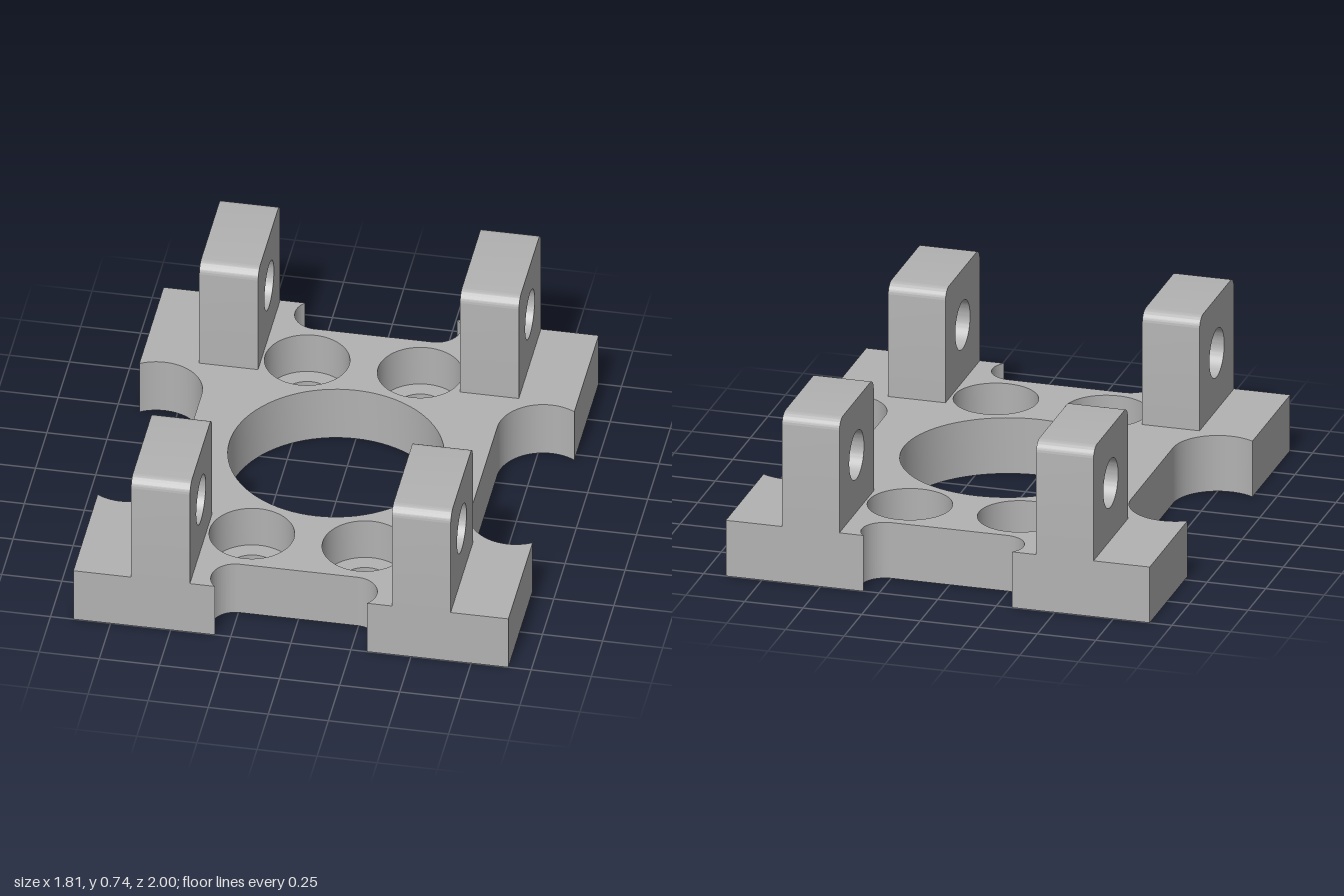
import * as THREE from 'three';
import { toCreasedNormals } from 'three/addons/utils/BufferGeometryUtils.js';

const PLATE_H = 0.245;
const BORE_R = 0.175, BOLT_R = 0.105, SEAT_H = 0.06;

// Extrude a shape with crisp edges and smooth curved walls
function extrude(shape, depth) {
  const geo = new THREE.ExtrudeGeometry(shape, { depth, bevelEnabled: false, curveSegments: 40 });
  return toCreasedNormals(geo, 0.5);
}

// Lay a shape drawn in (x, z) flat, standing on y = 0
function slab(shape, height) {
  return extrude(shape, height).rotateX(Math.PI / 2).translate(0, height, 0);
}

function circle(x, y, r) {
  return new THREE.Path().absarc(x, y, r, 0, Math.PI * 2, true);
}

// Plate outline: half of it drawn, then repeated turned by 180 degrees
function plateShape() {
  const s = new THREE.Shape();
  const side = Math.atan2(0.1616, 0.1), end = Math.atan2(0.07, 0.0714);
  s.moveTo(0.905, -1);
  for (const k of [1, -1]) {
    const turn = k > 0 ? 0 : Math.PI;
    const arc = (x, z, r, a, b) => s.absarc(k * x, k * z, r, a + turn, b + turn, true);
    arc(0.805, -0.3, 0.19, -side, -Math.PI);
    arc(0.805, 0.3, 0.19, Math.PI, side);
    s.lineTo(k * 0.905, k);
    arc(0.245, 0.93, 0.1, end, -Math.PI / 2);
    arc(-0.245, 0.93, 0.1, -Math.PI / 2, -Math.PI - end);
    s.lineTo(-k * 0.905, k);
  }
  return s;
}

// Upright lug profile in (z, y) with rounded top corners and a pin hole
function lugShape() {
  const w = 0.245, h = 0.495, r = 0.05;
  const s = new THREE.Shape();
  s.moveTo(-w, 0);
  s.lineTo(w, 0);
  s.absarc(w - r, h - r, r, 0, Math.PI / 2, false);
  s.absarc(-w + r, h - r, r, Math.PI / 2, Math.PI, false);
  s.closePath();
  s.holes.push(circle(0, 0.25, 0.105));
  return s;
}

export function createModel() {
  const model = new THREE.Group();
  model.name = 'mountingBracket';
  const grey = new THREE.MeshStandardMaterial({ color: 0xb2b2b2 });
  grey.name = 'grey';

  const add = (name, geo, x, y, z) => {
    const mesh = new THREE.Mesh(geo, grey);
    mesh.name = name;
    mesh.position.set(x, y, z);
    model.add(mesh);
  };

  const corners = [[1, 1], [-1, 1], [1, -1], [-1, -1]];

  // Base plate with central opening and four counterbores
  const outline = plateShape();
  outline.holes.push(circle(0, 0, 0.443));
  for (const [sx, sz] of corners) outline.holes.push(circle(sx * 0.235, sz * 0.612, BORE_R));
  add('basePlate', slab(outline, PLATE_H), 0, 0, 0);

  // Bolt seats at the bottom of the counterbores, and the lugs
  const seat = new THREE.Shape().absarc(0, 0, BORE_R, 0, Math.PI * 2, false);
  seat.holes.push(circle(0, 0, BOLT_R));
  const seatGeo = slab(seat, SEAT_H);
  const lugW = 0.245;
  const lugGeo = extrude(lugShape(), lugW).rotateY(-Math.PI / 2).translate(lugW / 2, 0, 0);
  for (const [sx, sz] of corners) {
    const place = (sz > 0 ? 'Front' : 'Back') + (sx > 0 ? 'Left' : 'Right');
    add('boltSeat' + place, seatGeo, sx * 0.235, 0, sz * 0.612);
    add('lug' + place, lugGeo, sx * 0.5425, PLATE_H, sz * 0.755);
  }
  return model;
}
